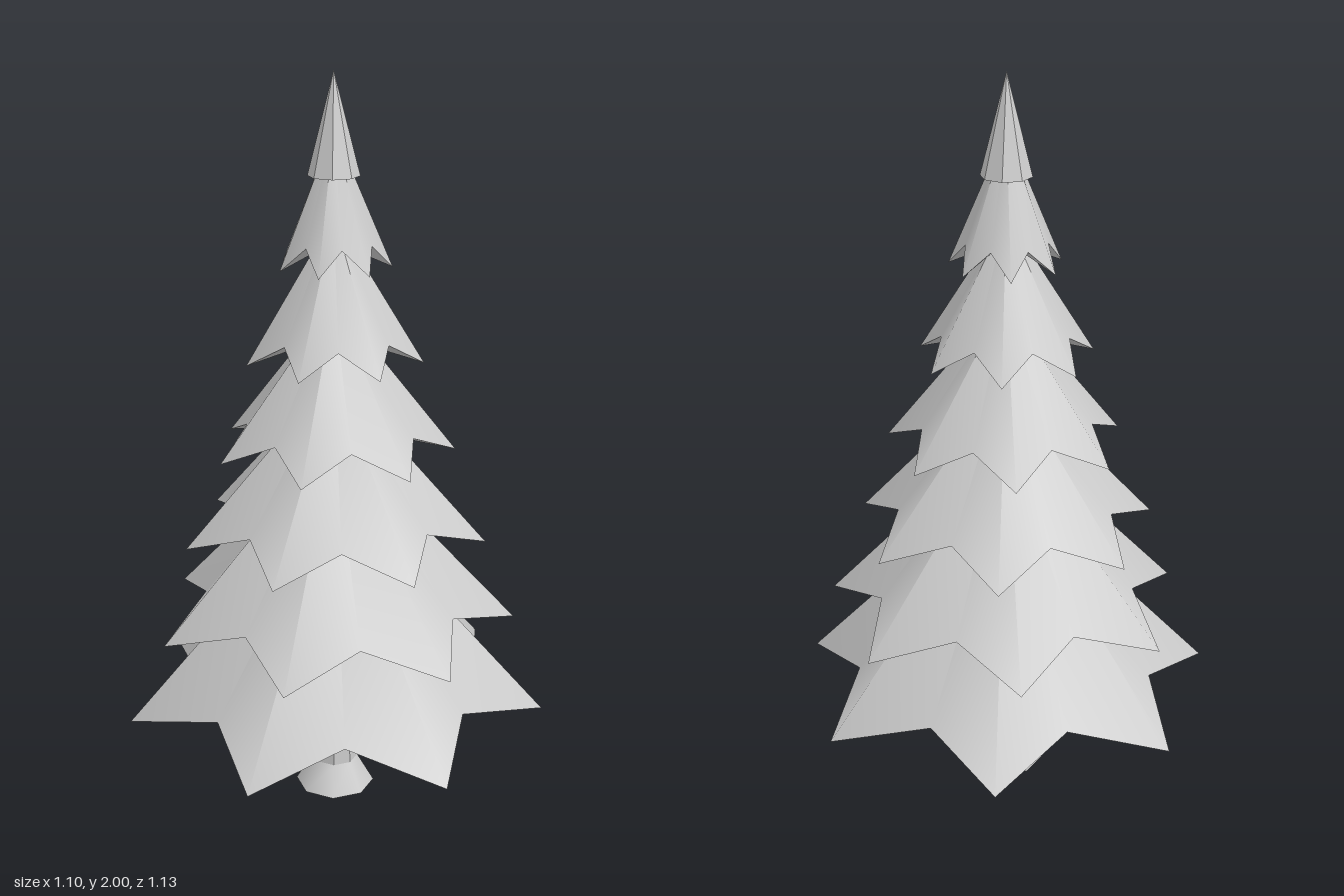
import * as THREE from 'three';

const bark = new THREE.MeshStandardMaterial({ color: 0xcccccc });
bark.name = 'pale grey';

const POINTS = 7; // branch tips per tier
const VALLEY = 0.72; // notch radius relative to tip radius
const LIFT = 0.063; // notch height above the tips

// Give every triangle its own flat normal
function faceted(geometry) {
  const flat = geometry.toNonIndexed();
  flat.computeVertexNormals();
  return flat;
}

// Smooth star-shaped skirt rising to an apex, or its faceted underside
function starGeometry(radius, tipY, apexY, turn, under) {
  const n = POINTS * 2;
  const pos = [];
  const index = [];
  for (let i = 0; i < n; i++) {
    const a = turn + (i / n) * Math.PI * 2;
    const r = i % 2 ? radius * VALLEY : radius;
    pos.push(r * Math.cos(a), tipY + (i % 2 ? LIFT : 0), r * Math.sin(a));
  }
  for (let i = 0; i < n; i++) {
    pos.push(0, under ? tipY + LIFT : apexY, 0);
    const j = (i + 1) % n;
    if (under) index.push(i, j, n + i);
    else index.push(i, n + i, j);
  }
  const g = new THREE.BufferGeometry();
  g.setAttribute('position', new THREE.Float32BufferAttribute(pos, 3));
  g.setIndex(index);
  if (under) return faceted(g);
  g.computeVertexNormals();
  return g;
}

export function createModel() {
  const tree = new THREE.Group();
  tree.name = 'pineTree';
  tree.position.x = -0.03;

  function add(parent, name, geometry, y = 0) {
    const mesh = new THREE.Mesh(geometry, bark);
    mesh.name = name;
    mesh.position.y = y;
    parent.add(mesh);
  }

  // Trunk with a flared foot
  add(tree, 'trunkFoot', new THREE.CylinderGeometry(0.064, 0.11, 0.08, 8), 0.04);
  add(tree, 'trunk', faceted(new THREE.CylinderGeometry(0.05, 0.064, 0.34, 8)), 0.25);

  // Branch tiers: tip radius, tip height, apex height; every second one is turned
  const tiers = [
    [0.58, 0.28, 0.9],
    [0.494, 0.525, 1.05],
    [0.41, 0.77, 1.22],
    [0.322, 1.015, 1.42],
    [0.236, 1.262, 1.64],
    [0.15, 1.508, 1.86],
  ];
  tiers.forEach(([radius, tipY, apexY], i) => {
    const turn = i % 2 ? -0.126 : 0;
    const tier = new THREE.Group();
    tier.name = 'branchTier' + (i + 1);
    add(tier, 'branchTop', starGeometry(radius, tipY, apexY, turn, false));
    add(tier, 'branchUnderside', starGeometry(radius, tipY, apexY, turn, true));
    tree.add(tier);
  });

  // Pointed crown
  add(tree, 'crown', faceted(new THREE.ConeGeometry(0.067, 0.26, 8)), 1.87);

  const model = new THREE.Group();
  model.name = 'model';
  model.add(tree);
  return model;
}
